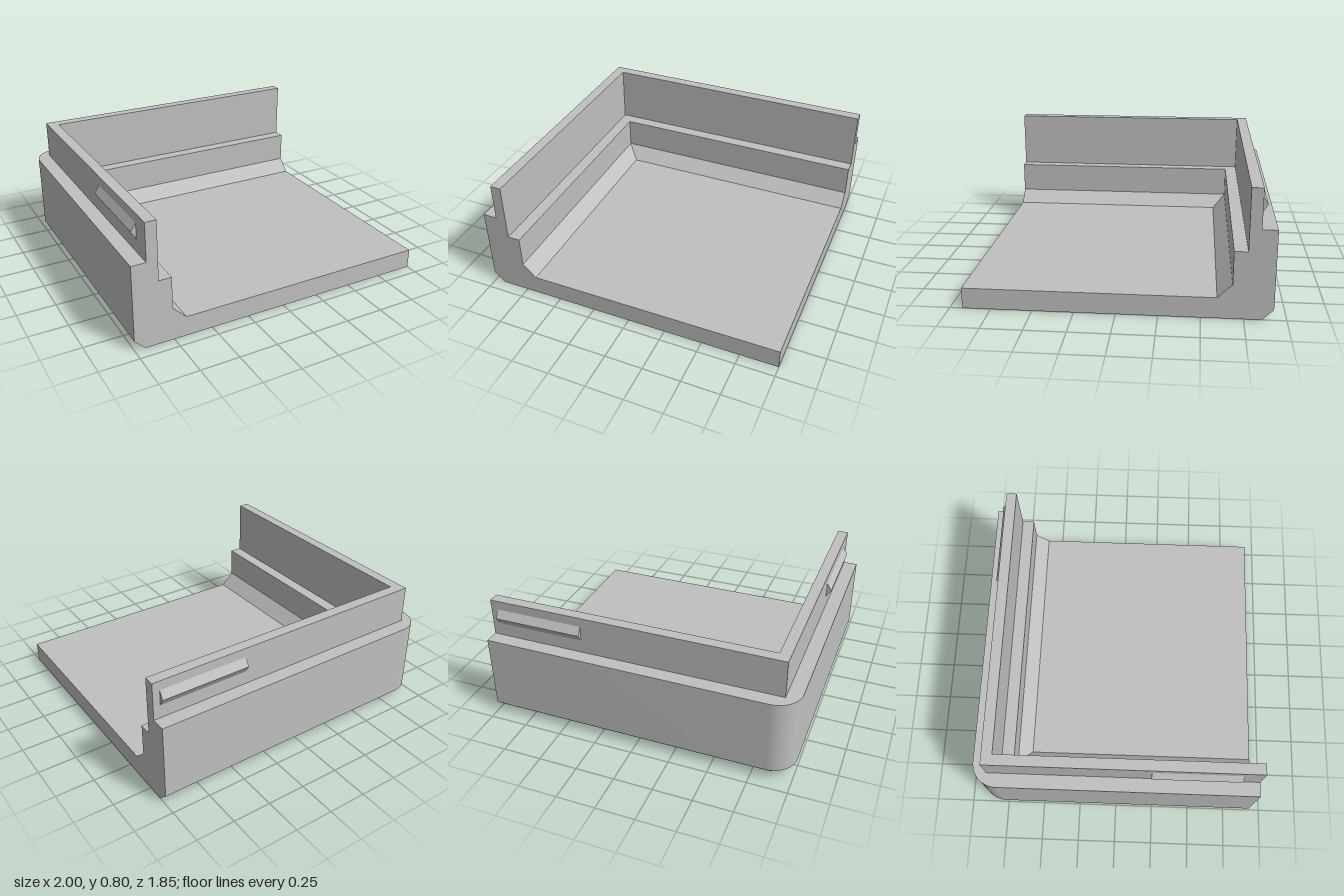
import * as THREE from 'three';
import { toCreasedNormals } from 'three/addons/utils/BufferGeometryUtils.js';

const HX = 1, HZ = 0.923, SEG = 24;

// Wall section: [inset from the outer faces, height, corner radius]
const SECTION = [
  [0.067, 0, 0.095], [0, 0.065, 0.16], [0, 0.555, 0.16], [0.092, 0.555, 0],
  [0.092, 0.8, 0], [0.162, 0.8, 0], [0.162, 0.42, 0], [0.243, 0.42, 0],
  [0.243, 0.215, 0], [0.33, 0.13, 0],
];

// L-shaped path: along the back wall, round the corner, along the side wall
function pathAt([d, y, r]) {
  const pts = [[HX, y, -HZ + d]];
  for (let i = 0; i <= SEG; i++) {
    const a = (i / SEG) * Math.PI / 2;
    pts.push([-HX + d + r - r * Math.sin(a), y, -HZ + d + r - r * Math.cos(a)]);
  }
  pts.push([-HX + d, y, HZ]);
  return pts;
}

// Open front-left corner of the floor, used to close floor and underside
const apexAt = (y) => Array.from({ length: SEG + 3 }, () => [HX, y, HZ]);

// Strip of faces between two paths, leaving out collapsed triangles
function band(lower, upper) {
  const pos = [];
  const same = (p, q) => p.every((v, i) => Math.abs(v - q[i]) < 1e-6);
  const tri = (a, b, c) => {
    if (!same(a, b) && !same(b, c) && !same(a, c)) pos.push(...a, ...b, ...c);
  };
  for (let i = 0; i < lower.length - 1; i++) {
    tri(lower[i], lower[i + 1], upper[i]);
    tri(lower[i + 1], upper[i + 1], upper[i]);
  }
  const geo = new THREE.BufferGeometry();
  geo.setAttribute('position', new THREE.Float32BufferAttribute(pos, 3));
  return toCreasedNormals(geo, 0.3);
}

export function createModel() {
  const model = new THREE.Group();
  model.name = 'trayCorner';
  const grey = new THREE.MeshStandardMaterial({ color: 0xc0c0c0 });
  grey.name = 'grey';
  const add = (name, geo) => {
    const mesh = new THREE.Mesh(geo, grey);
    mesh.name = name;
    model.add(mesh);
    return mesh;
  };

  // Underside, walls and floor
  const paths = SECTION.map(pathAt);
  const names = ['bottomChamfer', 'outerWall', 'outerLedge', 'lipOutside', 'lipTop',
    'lipInside', 'innerLedge', 'innerWall', 'floorSlope'];
  add('underside', band(apexAt(0), paths[0]));
  names.forEach((name, i) => add(name, band(paths[i], paths[i + 1])));
  add('floor', band(paths[paths.length - 1], apexAt(0.13)));

  // Flat cut faces at the front and the open side
  const cutFace = (half, far, sign) => new THREE.ShapeGeometry(new THREE.Shape([
    ...SECTION.map(([d, y]) => [-half + d, y]), [far, 0.13], [far, 0],
  ].map(([u, y]) => new THREE.Vector2(sign * u, y))));
  add('frontCutFace', cutFace(HX, HX, 1).translate(0, 0, HZ));
  add('sideCutFace', cutFace(HZ, HZ, -1).rotateY(Math.PI / 2).translate(HX, 0, 0));

  // Triangular snap ridges on the outside of the lip
  const ridge = (length) => new THREE.ExtrudeGeometry(new THREE.Shape([
    new THREE.Vector2(0, 0.64), new THREE.Vector2(0, 0.74), new THREE.Vector2(-0.031, 0.69),
  ]), { depth: length, bevelEnabled: false });
  add('sideRidge', ridge(0.57)).position.set(-HX + 0.092, 0, 0.225);
  const back = add('backRidge', ridge(0.575));
  back.rotation.y = -Math.PI / 2;
  back.position.set(0.955, 0, -HZ + 0.092);

  return model;
}
